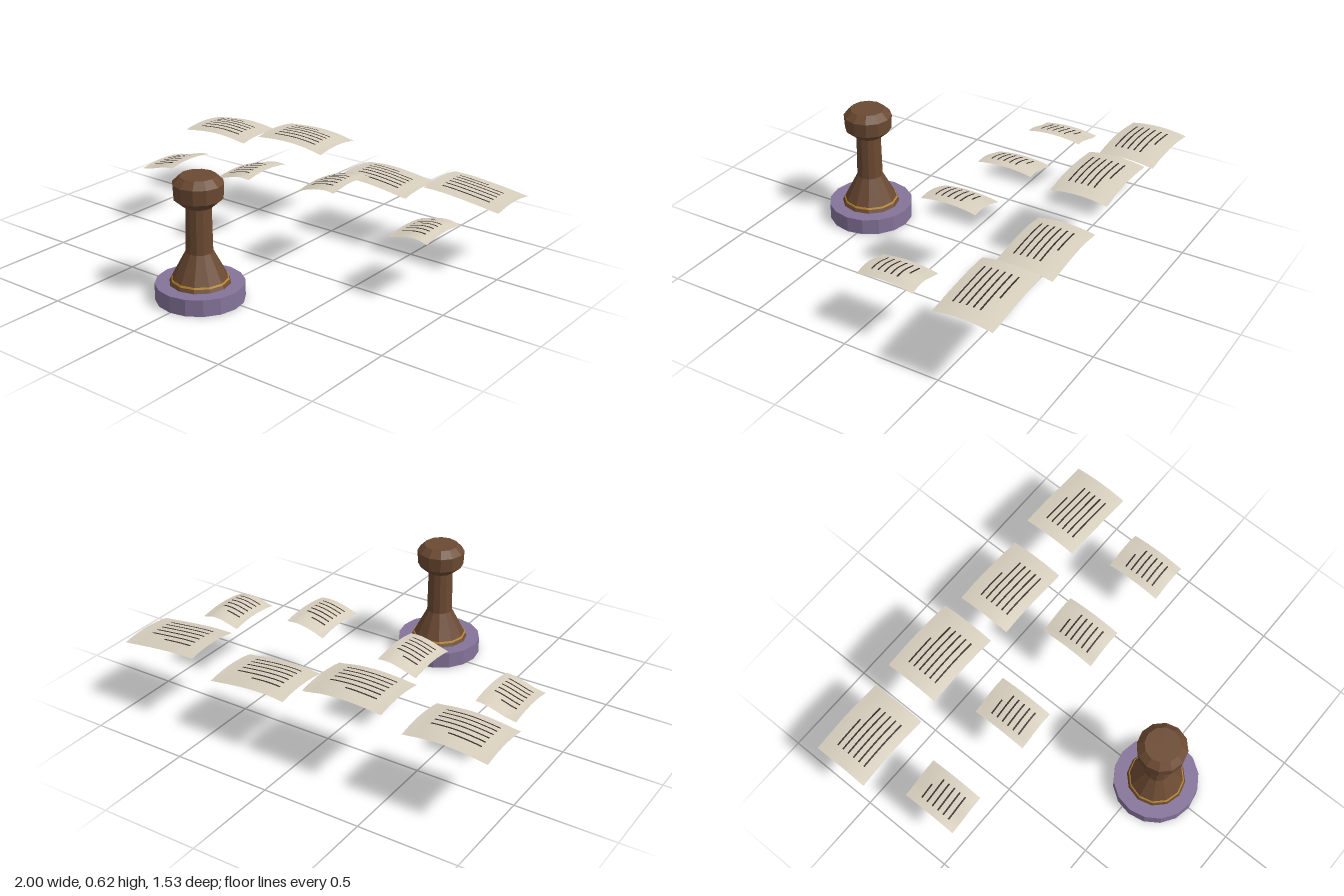
import * as THREE from 'three';

const mat = (color, opts = {}) => new THREE.MeshStandardMaterial({ color, ...opts });
const paper = mat(0xd8cfbe, { side: THREE.DoubleSide });
const ink = mat(0x3a2f2a, { side: THREE.DoubleSide });
const wood = mat(0x6b4a32, { flatShading: true });
const gold = mat(0xb8862f, { flatShading: true });
const purple = mat(0x85749a, { flatShading: true });
const inkRed = mat(0x6e2424);
const inkDark = mat(0x3c3c4e);

function add(parent, name, geometry, material) {
  const mesh = new THREE.Mesh(geometry, material);
  mesh.name = name;
  parent.add(mesh);
  return mesh;
}

// Flat rectangle lifted onto a curved height function
function patch(x0, x1, z0, z1, nx, nz, height) {
  const g = new THREE.PlaneGeometry(x1 - x0, z1 - z0, nx, nz);
  g.rotateX(-Math.PI / 2).translate((x0 + x1) / 2, 0, (z0 + z1) / 2);
  const p = g.attributes.position;
  for (let i = 0; i < p.count; i++) p.setY(i, height(p.getX(i), p.getZ(i)));
  g.computeVertexNormals();
  return g;
}

// Curled sheet with rows of writing on both faces
function makeSheet(name, x, z, width, heights, inset) {
  const depth = 0.3, bow = 0.016;
  const curve = new THREE.SplineCurve(
    heights.map((y, i) => new THREE.Vector2(i / (heights.length - 1), y)));
  const height = (offset) => (px, pz) => {
    const u = THREE.MathUtils.clamp(px / width + 0.5, 0, 1);
    return curve.getPoint(u).y - bow * (2 * pz / depth) ** 2 + offset;
  };
  const sheet = new THREE.Group();
  sheet.name = name;
  sheet.position.set(x, 0, z);
  add(sheet, 'paper', patch(-width / 2, width / 2, -depth / 2, depth / 2, 16, 8, height(0)), paper);
  const start = -width / 2 + inset, full = width - inset * 2.15;
  for (let row = 0; row < 6; row++) {
    const lz = -0.076 + row * 0.034;
    const end = start + full * (row === 0 ? 0.61 : 1);
    for (const offset of [0.003, -0.003])
      add(sheet, 'textLine', patch(start, end, lz - 0.004, lz + 0.004, 12, 1, height(offset)), ink);
  }
  return sheet;
}

function makeStamp() {
  const stamp = new THREE.Group();
  stamp.name = 'stamp';
  stamp.position.z = 0.55;

  // Round foot, closed on top by a disc and below by the inked face
  const R = 0.215, H = 0.083;
  add(stamp, 'footRim', new THREE.CylinderGeometry(R, R, H, 16, 1, true), purple).position.y = H / 2;
  const top = add(stamp, 'footTop', new THREE.CircleGeometry(R, 16, Math.PI / 2), purple);
  top.rotation.x = -Math.PI / 2;
  top.position.y = H;

  // Inked wedges on the underside
  const face = add(stamp, 'stampFace', new THREE.CircleGeometry(R, 16), inkDark);
  face.rotation.x = Math.PI / 2;
  const wedges = 5, step = Math.PI * 2 / wedges;
  for (let i = 0; i < wedges; i++) {
    const wedge = add(stamp, 'inkWedge', new THREE.CircleGeometry(R * 0.98, 2, i * step, step / 2), inkRed);
    wedge.rotation.x = Math.PI / 2;
    wedge.position.y = -0.001;
  }

  // Turned handle: flared skirt, slim neck, chamfered knob
  const profile = [
    [0.148, H], [0.066, 0.24], [0.062, 0.465], [0.072, 0.467],
    [0.118, 0.507], [0.122, 0.58], [0.087, 0.615], [0, 0.615],
  ].map(([r, y]) => new THREE.Vector2(r, y));
  add(stamp, 'handle', new THREE.LatheGeometry(profile, 12), wood);
  add(stamp, 'goldBand', new THREE.CylinderGeometry(0.137, 0.141, 0.008, 12), gold).position.y = 0.105;
  return stamp;
}

export function createModel() {
  const model = new THREE.Group();
  model.name = 'stampAndPapers';
  model.add(makeStamp());

  // Wide sheets in the back row: centre x and heights from left to right
  const wide = [
    [-0.79, [0.387, 0.401, 0.409, 0.404, 0.391]],
    [-0.265, [0.452, 0.461, 0.464, 0.456, 0.438]],
    [0.265, [0.342, 0.351, 0.347, 0.335, 0.321]],
    [0.79, [0.407, 0.405, 0.396, 0.384, 0.371]],
  ];
  for (const [x, heights] of wide)
    model.add(makeSheet('wideSheet', x, -0.62, 0.42, heights, 0.07));

  // Narrow sheets in the front row
  const narrow = [
    [-0.79, [0.309, 0.317, 0.333, 0.347, 0.352]],
    [-0.265, [0.371, 0.386, 0.402, 0.411, 0.409]],
    [0.26, [0.427, 0.445, 0.459, 0.465, 0.461]],
    [0.79, [0.323, 0.336, 0.348, 0.349, 0.337]],
  ];
  for (const [x, heights] of narrow)
    model.add(makeSheet('narrowSheet', x, -0.155, 0.21, heights, 0.037));

  return model;
}
